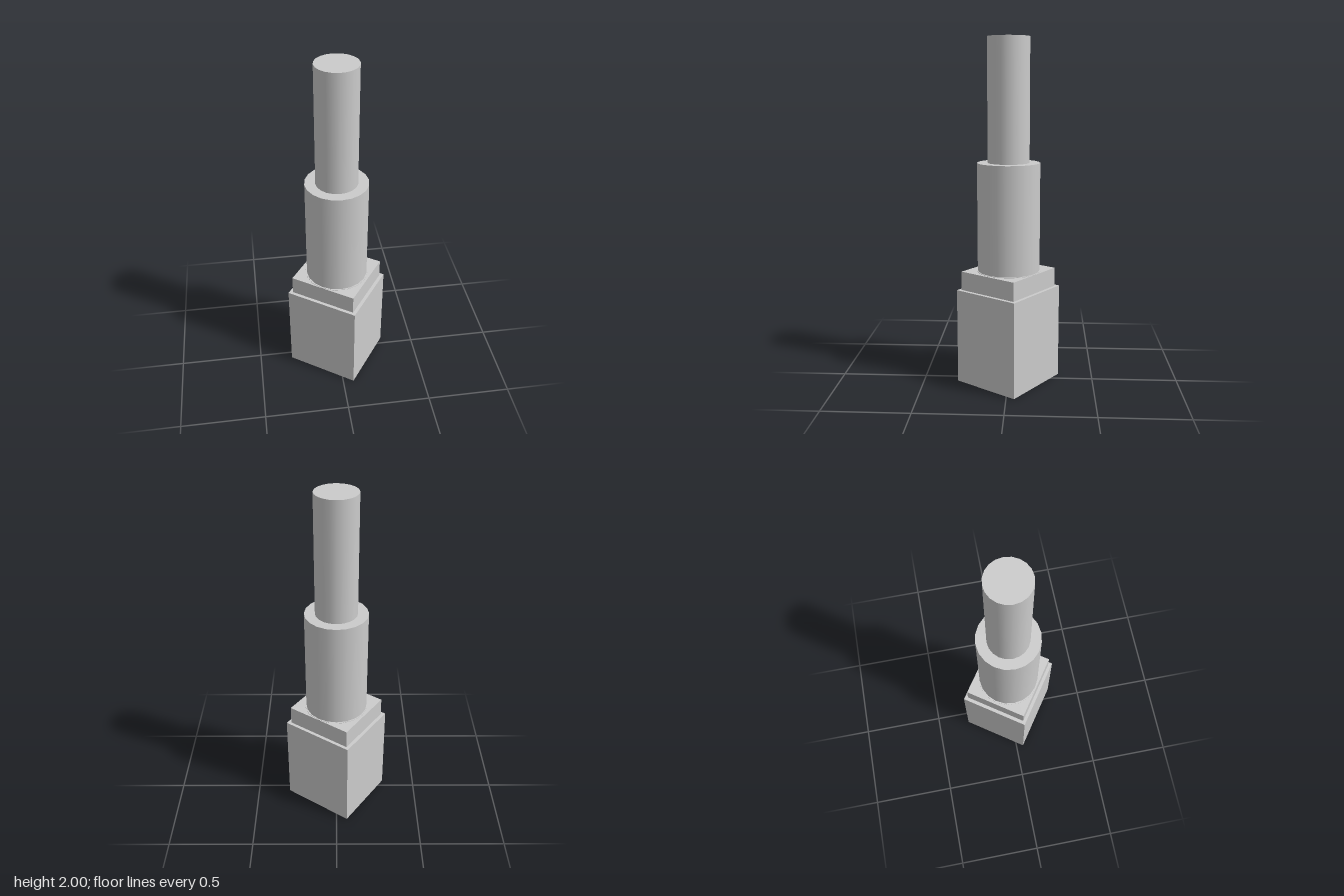
import * as THREE from 'three';

export function createModel() {
  const model = new THREE.Group();
  const material = new THREE.MeshStandardMaterial({ color: 0xcccccc });
  const turn = -0.606; // the square base stands turned about the vertical

  const add = (name, geometry, bottom, top, rotation = 0) => {
    const mesh = new THREE.Mesh(geometry, material);
    mesh.name = name;
    mesh.position.y = (bottom + top) / 2;
    mesh.rotation.y = rotation;
    model.add(mesh);
  };
  const block = (name, width, depth, bottom, top) =>
    add(name, new THREE.BoxGeometry(width, top - bottom, depth), bottom, top, turn);
  const drum = (name, radius, sides, bottom, top, rotation) =>
    add(name, new THREE.CylinderGeometry(radius, radius, top - bottom, sides), bottom, top, rotation);

  // Square base with a smaller step on top
  block('base', 0.444, 0.417, 0, 0.56);
  block('baseStep', 0.403, 0.379, 0.56, 0.67);

  // Thin seat under the shaft, then two round stages
  drum('shaftSeat', 0.19, 16, 0.66, 0.672, 0.166);
  drum('lowerShaft', 0.181, 20, 0.67, 1.3);
  drum('upperShaft', 0.12, 20, 1.3, 2);

  return model;
}
